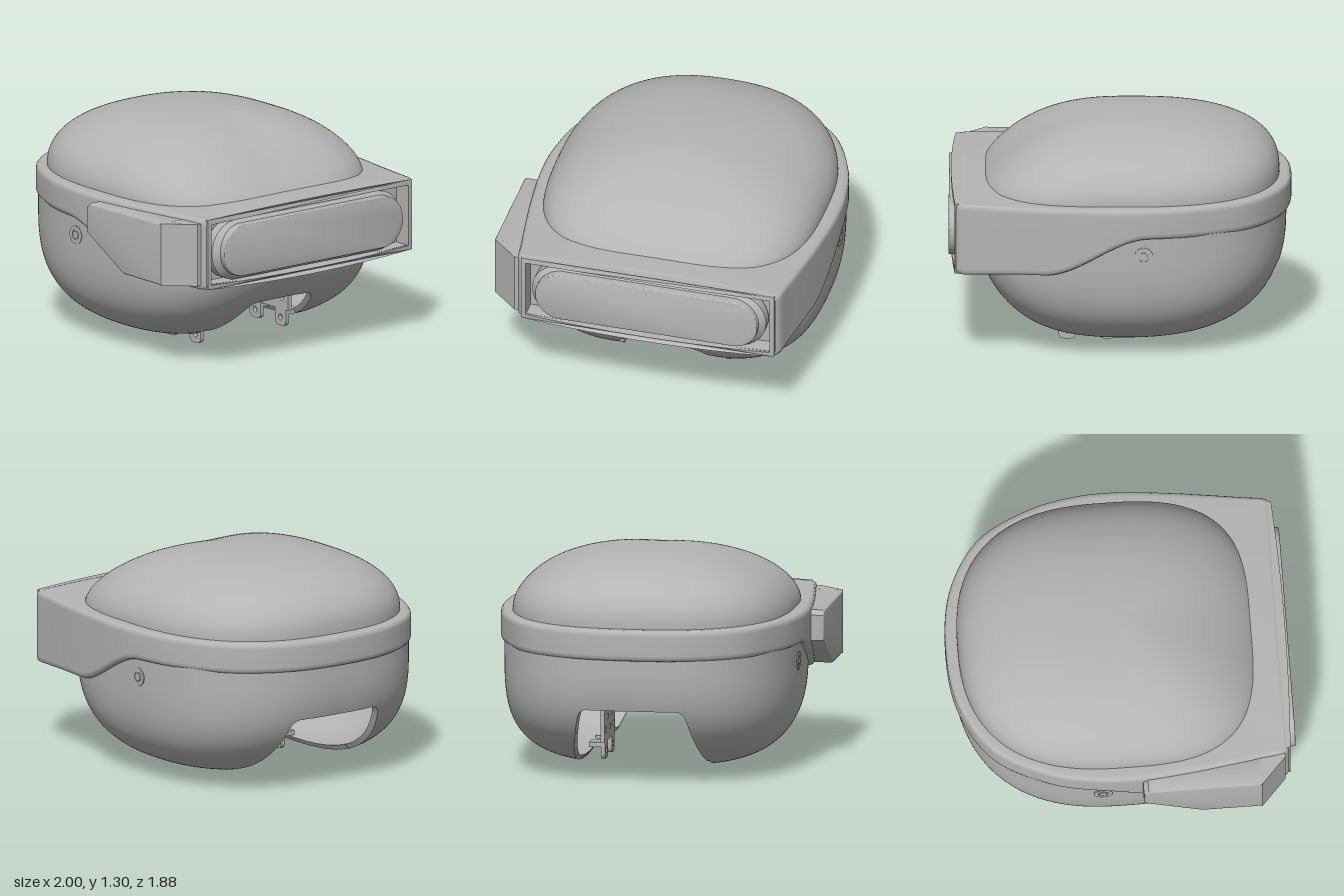
import * as THREE from 'three';
import { toCreasedNormals } from 'three/addons/utils/BufferGeometryUtils.js';

const CX = -0.02, CZ = -0.04;              // centre of the head in plan
const COLS = 240;
const smooth = THREE.MathUtils.smoothstep;

// Closed loop surface: rows run downwards or outwards, columns run around y
function loopSurface(rows, cols, point, skip = () => false) {
  const pos = [], idx = [];
  for (let i = 0; i < rows; i++) for (let j = 0; j < cols; j++) pos.push(...point(i, j));
  for (let i = 0; i < rows - 1; i++) for (let j = 0; j < cols; j++) {
    if (skip(i, j)) continue;
    const k = (j + 1) % cols, a = i * cols + j, b = i * cols + k, c = a + cols, d = b + cols;
    idx.push(a, b, c, b, d, c);
  }
  const g = new THREE.BufferGeometry();
  g.setAttribute('position', new THREE.Float32BufferAttribute(pos, 3));
  g.setIndex(idx);
  g.computeVertexNormals();
  return g;
}

// Plan radius of a rounded outline, longer at the back and squarer at the front
function planRadius(phi, front, back, side, pFront, pBack) {
  const c = Math.cos(phi), s = Math.sin(phi);
  const a = c > 0 ? front : back, p = c > 0 ? pFront : pBack;
  return Math.pow(Math.pow(Math.abs(c) / a, p) + Math.pow(Math.abs(s) / side, p), -1 / p);
}
const blend = (phi, front, side, back) => {
  const c = Math.cos(phi);
  return side + ((c > 0 ? front : back) - side) * c * c;
};
const domeRadius = phi => planRadius(phi, 0.825, 0.91, 0.82, 3.1, 2.5);
const shellRadius = phi => planRadius(phi, 0.88, 0.95, 0.865, 3, 2.55);
const at = (phi, r, y) => [CX + Math.cos(phi) * r, y, CZ + Math.sin(phi) * r];

function domePoint(phi, t) {
  const q = blend(phi, 2, 2.3, 2.6), e = blend(phi, 0.82, 0.5, 0.39), al = t * Math.PI / 2;
  return at(phi, domeRadius(phi) * Math.pow(Math.sin(al), 2 / q),
    0.93 + 0.37 * Math.pow(Math.max(0, Math.cos(al)), 2 * e));
}
function shellPoint(phi, t, k = 1) {
  const q = blend(phi, 2.05, 3.5, 2.5), al = t * Math.PI / 2;
  return at(phi, k * shellRadius(phi) * Math.pow(Math.max(0, Math.cos(al)), 2 / q),
    0.7 - k * 0.675 * Math.pow(Math.sin(al), 2 / q));
}
// Neck opening: arched notches at front and back joined along the bottom
function inOpening([x, y, z]) {
  const top = x > 0 ? 0.295 : 0.45;
  if (y > top) return false;
  let w = 0.4;
  if (y > 0.1) w = (x > 0 ? 0.31 : 0.39) - 0.08 * (y - 0.1) / (top - 0.1);
  const f = Math.max(0, (y - top + 0.045) / 0.045);
  return Math.abs(z - CZ) < w - 0.045 * (1 - Math.sqrt(1 - f * f));
}

function roundRect(hw, y0, y1, r) {
  const p = new THREE.Shape();
  p.moveTo(-hw + r, y0); p.lineTo(hw - r, y0);
  p.absarc(hw - r, y0 + r, r, -Math.PI / 2, 0); p.lineTo(hw, y1 - r);
  p.absarc(hw - r, y1 - r, r, 0, Math.PI / 2); p.lineTo(-hw + r, y1);
  p.absarc(-hw + r, y1 - r, r, Math.PI / 2, Math.PI); p.lineTo(-hw, y0 + r);
  p.absarc(-hw + r, y0 + r, r, Math.PI, Math.PI * 1.5);
  return p;
}
function polygon(points) { return new THREE.Shape(points.map(p => new THREE.Vector2(...p))); }
function hole(x, y, r) { return new THREE.Path().absarc(x, y, r, 0, Math.PI * 2, true); }
function extrude(shape, depth, bevel = 0, segments = 4) {
  return toCreasedNormals(new THREE.ExtrudeGeometry(shape, {
    depth, bevelEnabled: bevel > 0, bevelSize: bevel, bevelThickness: bevel, bevelSegments: segments, curveSegments: 16,
  }), 0.6);
}
// Slightly arched rectangle outline, subdivided along its long edges
function archedOutline(hw, y0, y1, arch) {
  const pts = [], N = 16;
  for (let i = 0; i <= N; i++) {
    const u = -1 + 2 * i / N;
    pts.push(new THREE.Vector2(hw * u, y0 + arch * u * u));
  }
  for (let i = N; i >= 0; i--) {
    const u = -1 + 2 * i / N;
    pts.push(new THREE.Vector2(hw * u, y1 - arch * u * u));
  }
  return pts;
}

export function createModel() {
  const model = new THREE.Group();
  const grey = new THREE.MeshStandardMaterial({ color: 0xb4b4b4, side: THREE.DoubleSide });
  grey.name = 'satinGrey';
  const add = (name, geometry, x = 0, y = 0, z = 0) => {
    const m = new THREE.Mesh(geometry, grey);
    m.name = name;
    m.position.set(x, y, z);
    model.add(m);
    return m;
  };
  const phiOf = j => j / COLS * Math.PI * 2;

  // Top dome
  add('topDome', loopSurface(34, COLS, (i, j) => i < 33 ? domePoint(phiOf(j), i / 32) : at(phiOf(j), domeRadius(phiOf(j)), 0.9)));

  // Lower shell, trimmed at the neck opening, with a rim and an inner wall
  const ends = [];
  for (let j = 0; j < COLS; j++) {
    let t = 0;
    while (t < 1 && !inOpening(shellPoint(phiOf(j), t))) t += 1 / 600;
    ends.push(Math.min(t, 1));
  }
  const wall = k => (i, j) => i === 0
    ? at(phiOf(j), k * shellRadius(phiOf(j)), 0.9)
    : shellPoint(phiOf(j), ends[j] * (i - 1) / 32, k);
  const outer = wall(1), inner = wall(0.96);
  add('lowerShell', loopSurface(34, COLS, outer));
  add('lowerShellRim', loopSurface(2, COLS, (i, j) => (i ? inner : outer)(33, j)));
  add('lowerShellLining', loopSurface(34, COLS, (i, j) => inner(33 - i, j)));

  // Brow band: wraps the head, deepens towards the visor, open at the front
  const half = [[0.955, 0.77], [0.935, 0.79], [0.8, 0.812], [0.65, 0.835], [0.35, 0.875], [0.03, 0.9],
    [-0.18, 0.89], [-0.45, 0.83], [-0.77, 0.655], [-0.95, 0.36]];
  const path = [...half, [-1, 0], ...half.map(([x, z]) => [x, -z]).reverse()];
  const ring = new THREE.CatmullRomCurve3(path.map(([x, z]) => new THREE.Vector3(x, 0, z))).getSpacedPoints(200);
  const sideCount = ring.length - 1;
  for (let i = 1; i < 16; i++) ring.push(new THREE.Vector3(0.955, 0, -0.77 + 1.54 * i / 16));
  const inset = [0, 0.035, 0.012, 0.003, 0, 0, 0.003, 0.012, 0.035, 0];
  const drop = [0, 0, 0.005, 0.018, 0.035, -0.035, -0.018, -0.005, 0, 0];
  add('browBand', loopSurface(10, ring.length, (i, j) => {
    const p = ring[j], phi = Math.atan2(p.z, p.x - CX), arch = (p.z / 0.77) ** 2;
    const front = smooth(p.x, 0.5, 0.95);
    const top = 0.935 + front * (0.024 - 0.018 * arch);
    const low = 0.752 - 0.227 * smooth(p.x, -0.17, 0.45) - front * (0.032 - 0.018 * arch);
    let r = Math.hypot(p.x - CX, p.z) - inset[i];
    if (i === 0) r = domeRadius(phi) * 0.97;
    if (i === 9) r = shellRadius(phi) * 0.94;
    return at(phi, r, (i < 5 ? top : low) - drop[i]);
  }, (i, j) => j >= sideCount && i === 4));

  // Visor frame: thin surround with a gently bowed front
  const frameShape = new THREE.Shape(archedOutline(0.765, 0.498, 0.955, 0.018));
  frameShape.holes.push(new THREE.Path(archedOutline(0.738, 0.53, 0.918, 0.012)));
  const frame = new THREE.ExtrudeGeometry(frameShape, { depth: 0.11, bevelEnabled: false });
  const fp = frame.attributes.position;
  for (let i = 0; i < fp.count; i++) {
    if (fp.getZ(i) > 0.05) fp.setZ(i, 0.11 + 0.025 * (1 - (fp.getX(i) / 0.77) ** 2));
  }
  add('visorFrame', toCreasedNormals(frame, 0.6), 0.853, 0, CZ).rotation.y = Math.PI / 2;
  add('visorBackPlate', new THREE.BoxGeometry(0.02, 0.4, 1.5), 0.84, 0.727, CZ);

  // Visor pod: flared base, flat face and a fine arc near each end
  add('visorPodBase', extrude(roundRect(0.672, 0.575, 0.862, 0.14), 0.06, 0.035, 1), 0.87, 0, CZ)
    .rotation.y = Math.PI / 2;
  add('visorPod', extrude(roundRect(0.666, 0.576, 0.872, 0.146), 0.13, 0.006), 0.864, 0, CZ)
    .rotation.y = Math.PI / 2;
  for (const s of [1, -1]) {
    const arc = add('visorArc', new THREE.TorusGeometry(0.125, 0.002, 6, 32, Math.PI), 0.998, 0.722, CZ + s * 0.52);
    arc.rotation.set(s * Math.PI / 2, Math.PI / 2, 0);
  }

  // Side cover on the left, with a slanted cheek running into the visor
  add('sideCover', extrude(polygon([[0.105, 0.735], [0.435, 0.555], [0.775, 0.555], [0.775, 0.9], [0.125, 0.89], [0.105, 0.87]]),
    0.15, 0.014), 0, 0, 0.771);
  const cheek = extrude(polygon([[0.776, -0.7], [0.93, -0.7], [0.93, -0.775], [0.785, -0.933], [0.776, -0.935]]), 0.373);
  add('sideCoverCheek', cheek, 0, 0.541, 0).rotation.x = -Math.PI / 2;

  // Side screws
  for (const s of [1, -1]) {
    const washer = new THREE.Shape().absarc(0, 0, 0.055, 0, Math.PI * 2);
    washer.holes.push(hole(0, 0, 0.03));
    const z = CZ + s * 0.861;
    add('screwWasher', extrude(washer, 0.014), -0.14, 0.645, z - 0.007);
    add('screwHead', new THREE.CylinderGeometry(0.024, 0.024, 0.016, 24), -0.14, 0.645, z).rotation.x = Math.PI / 2;
  }

  // Inner chassis: ceiling plate, drilled uprights and mounting tabs
  add('chassisPlate', new THREE.BoxGeometry(1.15, 0.03, 1.1), -0.06, 0.62, CZ);
  for (const s of [1, -1]) {
    const z = CZ + s * 0.32;
    const upright = polygon([[0, 0.1], [0.38, 0.1], [0.38, 0.61], [0, 0.61]]);
    for (const [x, y] of [[0.06, 0.17], [0.19, 0.17], [0.32, 0.17], [0.12, 0.24], [0.26, 0.24], [0.06, 0.5], [0.32, 0.5]])
      upright.holes.push(hole(x, y, 0.018));
    add('chassisUpright', extrude(upright, 0.024), 0, 0, z - 0.012);
    for (const x of [0.073, 0.308]) {
      const tab = roundRect(0.05, 0, 0.12, 0.03);
      tab.holes.push(hole(0, 0.05, 0.018));
      add('mountingTab', extrude(tab, 0.024), x, 0, z - 0.012);
      add('mountingFlange', new THREE.BoxGeometry(0.1, 0.028, 0.08), x, 0.086, z + s * 0.045);
    }
  }
  return model;
}
